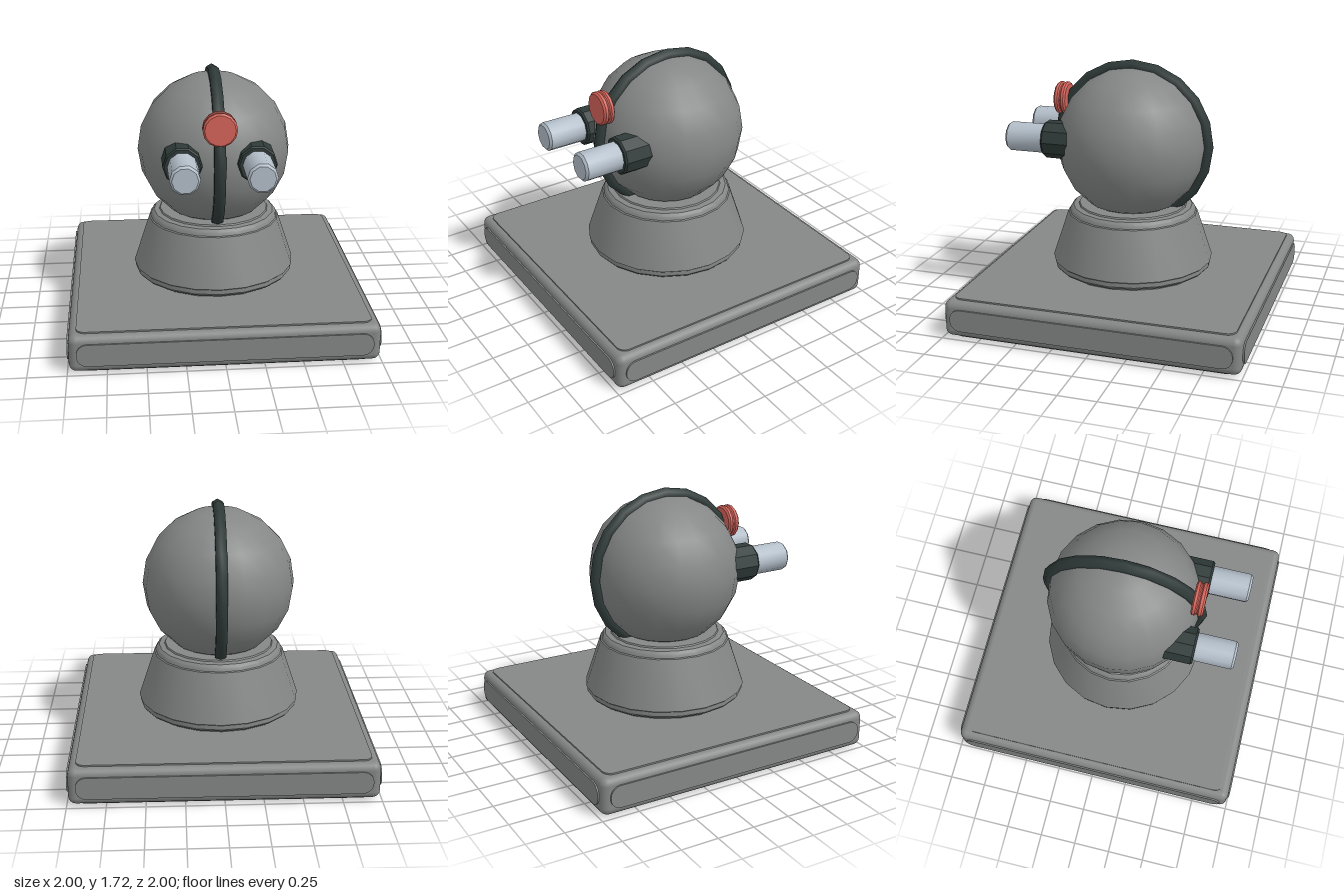
import * as THREE from 'three';
import { toCreasedNormals } from 'three/addons/utils/BufferGeometryUtils.js';
import { RoundedBoxGeometry } from 'three/addons/geometries/RoundedBoxGeometry.js';

function material(name, color) {
  const m = new THREE.MeshStandardMaterial({ color });
  m.name = name;
  return m;
}

// Turned part with creased edges; profile is [radius, height] from bottom to top
function turned(profile, sides, crease = 0.5) {
  const points = profile.map(([r, h]) => new THREE.Vector2(r, h));
  return toCreasedNormals(new THREE.LatheGeometry(points, sides), crease);
}

// Turned part whose axis points forward, with a flat facet on top
function turnedForward(profile, sides, crease) {
  return turned(profile, sides, crease).rotateX(Math.PI / 2).rotateZ(Math.PI / sides);
}

// Thin raised plate with rounded corners, facing +z
function plate(w, h, r, depth) {
  const x = w / 2, y = h / 2;
  const s = new THREE.Shape();
  s.moveTo(-x + r, -y);
  s.lineTo(x - r, -y);
  s.absarc(x - r, -y + r, r, -Math.PI / 2, 0);
  s.absarc(x - r, y - r, r, 0, Math.PI / 2);
  s.absarc(-x + r, y - r, r, Math.PI / 2, Math.PI);
  s.absarc(-x + r, -y + r, r, Math.PI, Math.PI * 1.5);
  return new THREE.ExtrudeGeometry(s, { depth, bevelEnabled: false, curveSegments: 5 });
}

export function createModel() {
  const model = new THREE.Group();
  model.name = 'robotBust';
  const grey = material('grey', 0x858787);
  const dark = material('darkGreen', 0x2f3b39);
  const silver = material('silver', 0xb4bfca);
  const red = material('red', 0xd6645a);

  const add = (name, geometry, mat, parent = model) => {
    const mesh = new THREE.Mesh(geometry, mat);
    mesh.name = name;
    parent.add(mesh);
    return mesh;
  };

  // Square plinth with a raised panel on every face
  const plinth = new THREE.Group();
  plinth.name = 'plinth';
  plinth.position.y = 0.135;
  model.add(plinth);
  add('plinthBody', new RoundedBoxGeometry(1.98, 0.25, 1.98, 3, 0.05), grey, plinth);
  for (let i = 0; i < 4; i++) {
    const side = plate(1.88, 0.15, 0.07, 0.014).translate(0, 0, 0.986);
    add('sidePanel', side.rotateY(i * Math.PI / 2), grey, plinth);
  }
  for (const s of [1, -1]) {
    const panel = plate(1.88, 1.88, 0.06, 0.014).translate(0, 0, 0.121);
    add(s > 0 ? 'topPanel' : 'bottomPanel', panel.rotateX(-s * Math.PI / 2), grey, plinth);
  }

  // Tapered pedestal: rounded foot, raised cone, rounded shoulder and lip
  add('pedestal', turned([
    [0, 0.265], [0.5, 0.265], [0.505, 0.282], [0.535, 0.29], [0.547, 0.305],
    [0.547, 0.335], [0.555, 0.342], [0.447, 0.67], [0.438, 0.675],
    [0.43, 0.698], [0.412, 0.715], [0.375, 0.72], [0.37, 0.73], [0, 0.73],
  ], 20), grey);

  // Round head with a band running front to back
  const head = new THREE.Group();
  head.name = 'head';
  head.position.y = 1.16;
  model.add(head);
  add('skull', new THREE.SphereGeometry(0.515, 20, 10), grey, head);
  add('headBand', new THREE.TorusGeometry(0.52, 0.043, 6, 20).rotateY(Math.PI / 2), dark, head);

  // Eye tubes in dark sockets
  for (const s of [1, -1]) {
    const eye = new THREE.Group();
    eye.name = s > 0 ? 'leftEye' : 'rightEye';
    eye.position.set(s * 0.24, 1.197, 0);
    model.add(eye);
    add('socket', turnedForward([
      [0, 0.25], [0.128, 0.25], [0.128, 0.525], [0.118, 0.537], [0, 0.537],
    ], 10, 0.4), dark, eye);
    add('eyeTube', turnedForward([
      [0, 0.5], [0.098, 0.5], [0.098, 0.788], [0.083, 0.803], [0, 0.803],
    ], 10, 0.7), silver, eye);
  }

  // Forehead lamp: two rounded rims with a groove between them
  const lamp = add('foreheadLamp', turnedForward([
    [0, 0.455], [0.098, 0.455], [0.112, 0.465], [0.112, 0.482], [0.102, 0.49],
    [0.102, 0.498], [0.112, 0.506], [0.112, 0.524], [0.1, 0.536], [0, 0.536],
  ], 14, 0.6), red);
  lamp.position.y = 1.43;

  return model;
}
